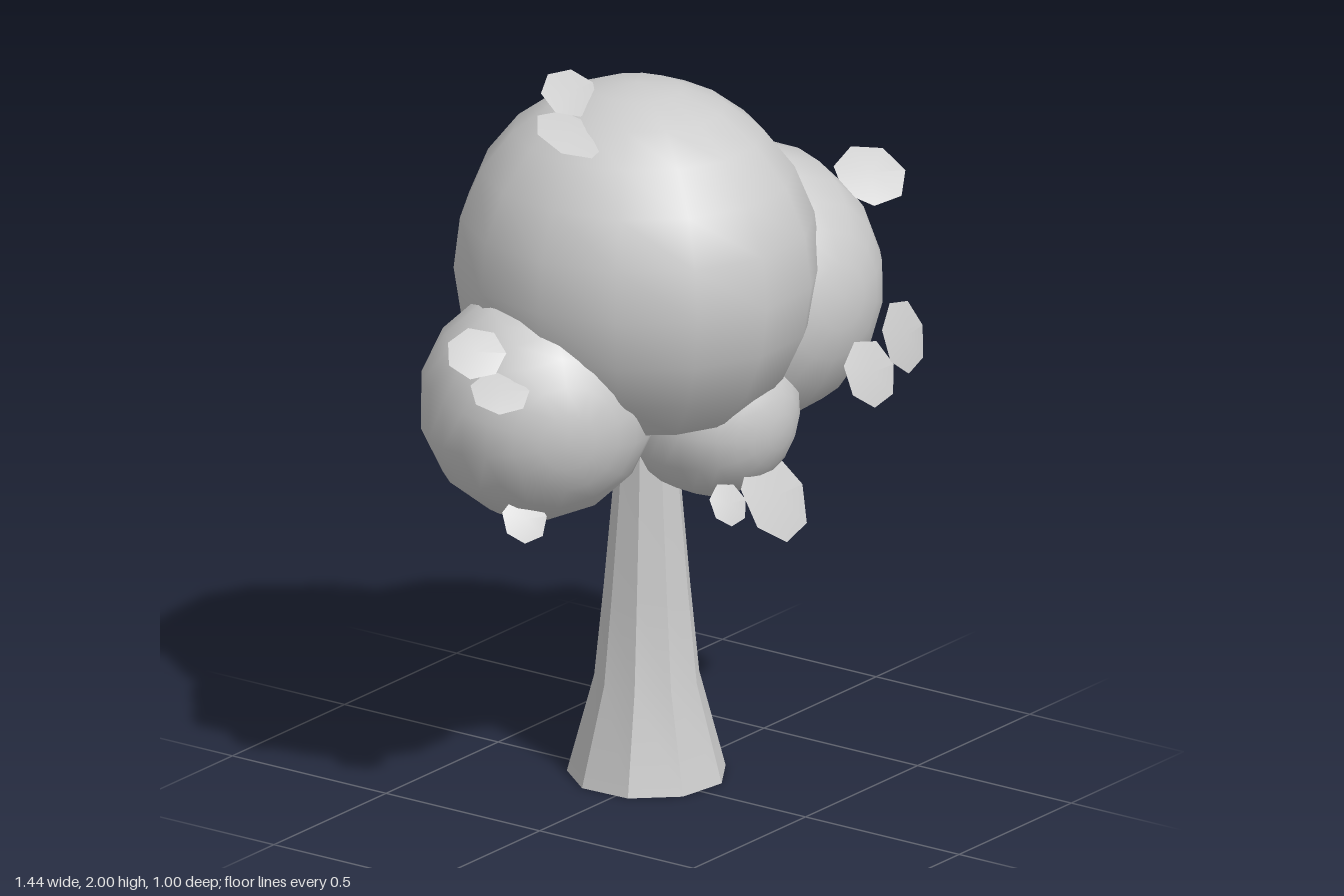
import * as THREE from 'three';
import { toCreasedNormals } from 'three/addons/utils/BufferGeometryUtils.js';

const material = new THREE.MeshStandardMaterial({ color: 0xcccccc, side: THREE.DoubleSide });

const rad = THREE.MathUtils.degToRad;
const crownCentre = new THREE.Vector3(-0.038, 1.452, -0.02);
const crownSize = new THREE.Vector3(0.467, 0.5, 0.495);
const column = 360 / 14;

// Part of the crown: azimuth runs from +z toward +x, polar angle from the top
function crownPatch(azimuth, columns, polar, polarSpan, rows) {
  const geometry = new THREE.SphereGeometry(1, columns, rows,
    rad(azimuth + 90), rad(columns * column), rad(polar), rad(polarSpan));
  geometry.scale(...crownSize.toArray());
  const mesh = new THREE.Mesh(geometry, material);
  mesh.position.copy(crownCentre);
  mesh.name = 'crownFoliage';
  return mesh;
}

// Dome facing along an axis, open behind, without the triangles buried in the crown
function dome(name, centre, radius, axis, opening) {
  const ball = new THREE.SphereGeometry(radius, 14, 9, 0, Math.PI * 2, 0, rad(opening));
  const turn = new THREE.Quaternion().setFromUnitVectors(
    new THREE.Vector3(0, 1, 0), new THREE.Vector3(...axis).normalize());
  ball.applyQuaternion(turn).translate(...centre);
  const pos = ball.attributes.position, old = ball.index.array, kept = [];
  const c = new THREE.Vector3(), v = new THREE.Vector3();
  for (let i = 0; i < old.length; i += 3) {
    const corners = [old[i], old[i + 1], old[i + 2]];
    c.set(0, 0, 0);
    corners.forEach((k) => c.add(v.fromBufferAttribute(pos, k)));
    c.divideScalar(3).sub(crownCentre).divide(crownSize);
    if (c.length() > 0.82) kept.push(...corners);
  }
  ball.setIndex(kept);
  const mesh = new THREE.Mesh(ball, material);
  mesh.name = name;
  return mesh;
}

// Seven-sided, slightly domed leaf facing along a normal
function leaf(position, normal, radius, squash = 1) {
  const geometry = new THREE.CircleGeometry(radius, 7);
  geometry.attributes.position.setZ(0, radius * 0.12);
  geometry.scale(1, squash, 1);
  geometry.computeVertexNormals();
  const mesh = new THREE.Mesh(geometry, material);
  mesh.position.set(...position);
  mesh.lookAt(mesh.position.clone().add(new THREE.Vector3(...normal)));
  mesh.name = 'leaf';
  return mesh;
}

export function createModel() {
  const tree = new THREE.Group();
  tree.name = 'tree';

  // Flared nine-sided trunk with two sides open at the back
  const profile = [[0.213, 0], [0.141, 0.27], [0.116, 0.52], [0.093, 0.78], [0.072, 1.1]]
    .map(([r, y]) => new THREE.Vector2(r, y));
  const bark = new THREE.LatheGeometry(profile, 7, rad(212), rad(280));
  const trunk = new THREE.Mesh(toCreasedNormals(bark, 0.45), material);
  trunk.position.set(0.039, 0, -0.042);
  trunk.name = 'trunk';
  tree.add(trunk);

  // Main crown: full cap, body open at the back left, and a short flap under the cap
  const foliage = new THREE.Group();
  foliage.name = 'foliage';
  foliage.add(
    crownPatch(195, 14, 0, 43, 3),
    crownPatch(195, 10, 43, 96, 6),
    crownPatch(195 + 10 * column, 1, 43, 15, 1));

  // Smaller domes around the crown
  foliage.add(
    dome('leftFoliage', [0.315, 1.31, 0.05], 0.385, [-0.12, 0.12, 1], 119),
    dome('rightFoliage', [-0.345, 1.13, -0.12], 0.315, [-0.62, -0.05, 0.78], 126),
    dome('frontFoliage', [0.065, 1.05, 0.145], 0.235, [0, -0.1, 1], 112));
  tree.add(foliage);

  // Loose leaves around the crown: position, normal, radius, squash
  const leaves = new THREE.Group();
  leaves.name = 'looseLeaves';
  [
    [[-0.21, 1.95, -0.115], [0, 0.74, 0.67], 0.105, 0.7],
    [[-0.325, 1.885, -0.03], [0, 0.9, 0.42], 0.1],
    [[0.625, 1.56, 0.255], [-0.3, 0.8, 0.5], 0.1],
    [[0.485, 1.195, 0.465], [0.1, 0.3, 0.95], 0.1],
    [[0.335, 1.135, 0.465], [-0.1, 0.4, 0.9], 0.093],
    [[-0.62, 1.34, -0.12], [-0.5, 0.75, 0.4], 0.08],
    [[-0.65, 1.26, -0.02], [-0.3, 0.9, 0.35], 0.08],
    [[-0.54, 0.875, -0.02], [-0.4, 0.5, 0.75], 0.065],
    [[0.06, 0.845, 0.355], [0, 0.5, 0.87], 0.125],
    [[-0.07, 0.85, 0.3], [-0.2, 0.5, 0.83], 0.06],
  ].forEach((spec) => leaves.add(leaf(...spec)));
  tree.add(leaves);

  return tree;
}
